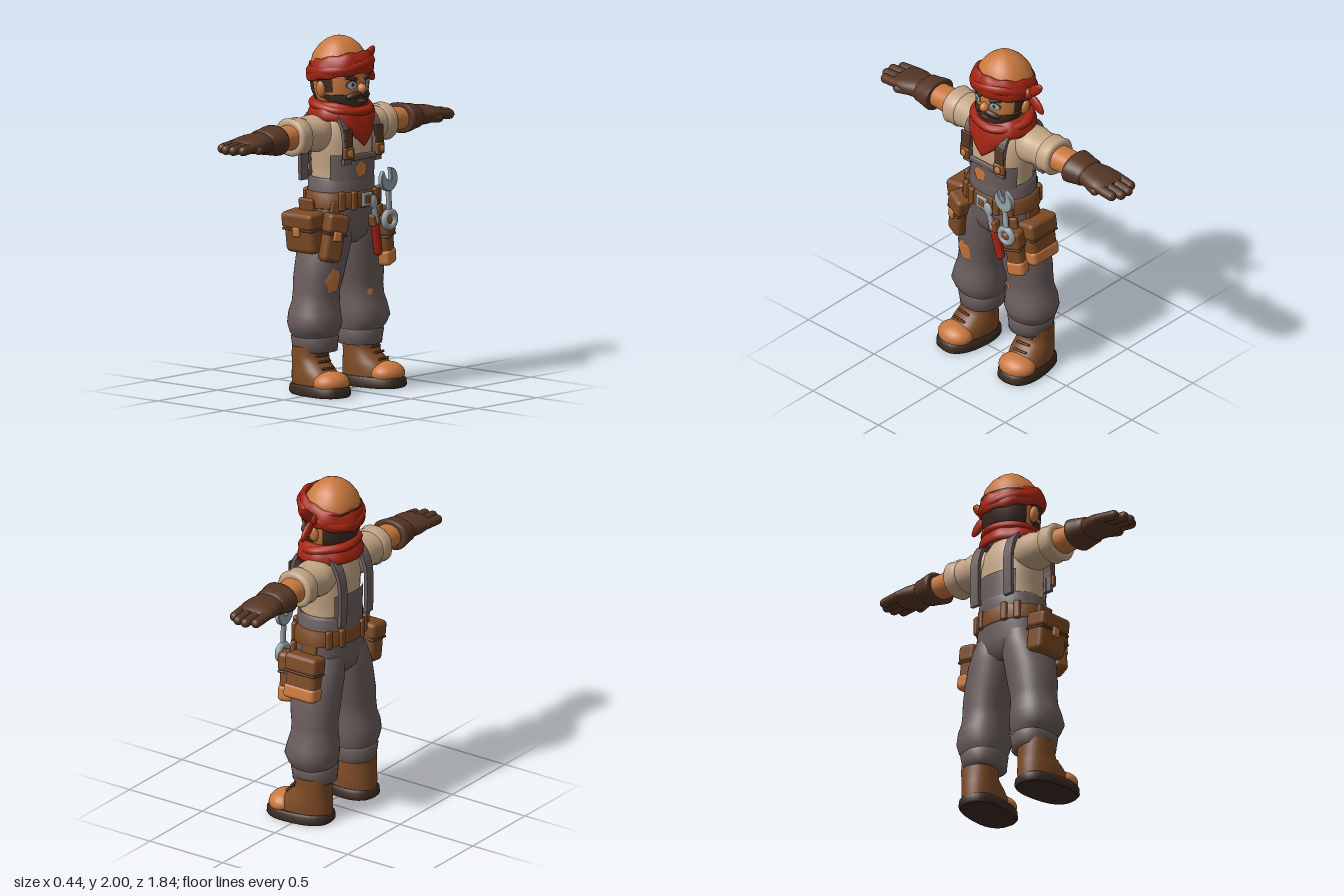
import * as THREE from 'three';
import { RoundedBoxGeometry } from 'three/addons/geometries/RoundedBoxGeometry.js';
import { ParametricGeometry } from 'three/addons/geometries/ParametricGeometry.js';

const mat = (name, color) => Object.assign(new THREE.MeshStandardMaterial({ color, side: THREE.DoubleSide }), { name });
const M = {
  skin: mat('skin and tan', 0xc9783f), red: mat('red cloth', 0xa32411), glove: mat('dark leather', 0x553524),
  leather: mat('brown leather', 0x7c4a24), denim: mat('grey denim', 0x6a5d5c), cream: mat('cream shirt', 0xc4a585),
  hair: mat('dark hair', 0x3e2a22), steel: mat('steel', 0x98a2a8), eye: mat('pale blue', 0x8fb0c8), sole: mat('sole', 0x3a2a20),
};
const PI = Math.PI;

function add(parent, name, geo, material, pos = [0, 0, 0], rot = [0, 0, 0], scale = [1, 1, 1]) {
  const m = new THREE.Mesh(geo, material);
  m.name = name;
  m.position.set(...pos); m.rotation.set(...rot); m.scale.set(...scale);
  parent.add(m);
  return m;
}
const ball = (p, name, m, pos, scale, rot) => add(p, name, new THREE.SphereGeometry(1, 24, 16), m, pos, rot, scale);
const box = (p, name, m, size, pos, rot, r = 0.012) =>
  add(p, name, new RoundedBoxGeometry(...size, 2, Math.min(r, Math.min(...size) * 0.45)), m, pos, rot);
// capsule between two points
function rod(p, name, m, a, b, r) {
  const A = new THREE.Vector3(...a), d = new THREE.Vector3(...b).sub(A), len = d.length();
  const o = add(p, name, new THREE.CapsuleGeometry(r, len, 6, 14), m, A.clone().addScaledVector(d, 0.5).toArray());
  o.quaternion.setFromUnitVectors(new THREE.Vector3(0, 1, 0), d.normalize());
  return o;
}

// Skin over superellipse sections [y, cx, cz, rx, rz]; from/to give an open arc, angle 0 = front
function loft(secs, { n = 2.2, from = -PI, to = PI, seg = 36, grow = 0 } = {}) {
  const full = to - from > 6.28, pos = [], idx = [], cols = full ? seg : seg + 1;
  const pw = v => Math.sign(v) * Math.abs(v) ** (2 / n);
  const ring = ([y, cx, cz, rx, rz]) => {
    for (let i = 0; i < cols; i++) {
      const a = from + (to - from) * i / seg;
      pos.push(cx + (rx + grow) * pw(Math.sin(a)), y, cz + (rz + grow) * pw(Math.cos(a)));
    }
  };
  secs.forEach(ring);
  for (let j = 0; j < secs.length - 1; j++) for (let i = 0; i < seg; i++) {
    const a = j * cols + i, b = j * cols + (i + 1) % cols;
    idx.push(a, b, a + cols, b, b + cols, a + cols);
  }
  if (full) [secs[0], secs[secs.length - 1]].forEach((s, top) => {
    const base = pos.length / 3;
    ring(s);
    pos.push(s[1], s[0], s[2]);
    for (let i = 0; i < seg; i++) {
      const a = base + i, b = base + (i + 1) % seg;
      top ? idx.push(a, b, base + seg) : idx.push(b, a, base + seg);
    }
  });
  return geometry(pos, idx);
}
function geometry(pos, idx) {
  const g = new THREE.BufferGeometry();
  g.setAttribute('position', new THREE.Float32BufferAttribute(pos, 3));
  g.setIndex(idx);
  g.computeVertexNormals();
  return g;
}
// Front depth of a loft at (x, y)
function frontZ(secs, x, y, n = 2.2) {
  let j = 0;
  while (j < secs.length - 2 && secs[j + 1][0] < y) j++;
  const t = (y - secs[j][0]) / (secs[j + 1][0] - secs[j][0]);
  const [, cx, cz, rx, rz] = secs[j].map((v, k) => v + (secs[j + 1][k] - v) * t);
  return cz + rz * Math.max(0, 1 - Math.abs((x - cx) / rx) ** n) ** (1 / n);
}
// Thin irregular patch lying on the front of a loft
function patch(p, name, m, secs, x, y, w, h, rough = 0.25, lift = 0.006) {
  const pos = [x, y, frontZ(secs, x, y) + lift], idx = [], k = 14;
  for (let r = 1; r <= 3; r++) for (let i = 0; i < k; i++) {
    const a = 2 * PI * i / k, q = r / 3 * (1 - rough * (0.5 + 0.5 * Math.sin(i * 2.4 + 1)));
    const px = x + w / 2 * q * Math.cos(a), py = y + h / 2 * q * Math.sin(a);
    pos.push(px, py, frontZ(secs, px, py) + lift);
    const b = 1 + (r - 1) * k, c = b + i, d = b + (i + 1) % k;
    r === 1 ? idx.push(0, c, d) : idx.push(c - k, c, d, c - k, d, d - k);
  }
  add(p, name, geometry(pos, idx), m);
}
// Closed cloth ring; f(angle) gives { y, h, t }
function wrap(rx, rz, cz, lean, f) {
  return new ParametricGeometry((u, v, out) => {
    const a = (u * 2 - 1) * PI, b = v * 2 * PI, { y, h, t } = f(a);
    const r = t * Math.cos(b) - lean * Math.sin(b);
    out.set((rx + r) * Math.sin(a), y + h * Math.sin(b), cz + (rz + r) * Math.cos(a));
  }, 72, 14);
}

const HEAD = [[1.55, 0, -.03, .09, .09], [1.6, 0, -.01, .11, .11], [1.64, 0, -.02, .138, .13], [1.7, 0, -.025, .157, .15],
  [1.78, 0, -.03, .165, .155], [1.85, 0, -.033, .163, .153], [1.9, 0, -.035, .147, .14], [1.95, 0, -.035, .11, .106],
  [1.98, 0, -.035, .071, .069], [1.995, 0, -.035, .034, .034], [2, 0, -.035, .004, .004]];
const SHIRT = [[1.1, 0, -.02, .19, .15], [1.2, 0, -.02, .175, .148], [1.3, 0, -.02, .18, .15], [1.42, 0, -.025, .195, .145],
  [1.5, 0, -.03, .185, .13], [1.57, 0, -.03, .12, .1]];
const BIB = SHIRT.slice(1, 3).concat([[1.35, 0, -.02, .18, .15]]).map(([y, x, z, a, b]) => [y, x, z, a + .014, b + .018]);
const legSections = s => [[.3, .185, -.05, .11, .11], [.35, .195, -.045, .138, .135], [.4, .2, -.04, .15, .15], [.46, .195, -.045, .143, .142],
  [.52, .185, -.045, .132, .128], [.58, .18, -.045, .13, .126], [.66, .168, -.04, .138, .136], [.75, .15, -.035, .142, .14],
  [.85, .128, -.03, .138, .15], [.92, .115, -.025, .12, .15], [.98, .11, -.02, .1, .14]].map(([y, x, ...r]) => [y, s * x, ...r]);

function head(g) {
  add(g, 'head', loft(HEAD), M.skin);
  add(g, 'backHair', loft(HEAD.slice(1, 6), { from: PI * .6, to: PI * 1.4, grow: .008 }), M.hair);
  const beard = [[1.57, 0, .02, .05, .05], [1.585, 0, .02, .09, .085], [1.62, 0, .01, .125, .115], [1.66, 0, .0, .146, .128], [1.685, 0, -.012, .155, .132]];
  add(g, 'beard', loft(beard), M.hair);
  ball(g, 'nose', M.skin, [0, 1.715, .13], [.027, .03, .033]);
  box(g, 'mouth', M.skin, [.05, .012, .008], [0, 1.647, .128]);
  for (const s of [-1, 1]) {
    ball(g, 'ear', M.skin, [s * .165, 1.715, -.025], [.022, .048, .03], [0, 0, -s * .15]);
    add(g, 'sideburn', loft(HEAD.slice(3, 6), { from: s * 1.4 - .3, to: s * 1.4 + .3, seg: 8, grow: .006 }), M.hair);
    ball(g, 'moustache', M.hair, [s * .042, 1.682, .115], [.055, .02, .024], [0, s * .3, -s * .25]);
    patch(g, 'eyeSocket', M.hair, HEAD, s * .066, 1.742, .07, .05, 0, .004);
    patch(g, 'eye', M.eye, HEAD, s * .066, 1.74, .054, .042, 0, .007);
    patch(g, 'pupil', M.hair, HEAD, s * .064, 1.742, .018, .024, 0, .009);
    box(g, 'eyebrow', M.hair, [.075, .024, .02], [s * .067, 1.778, .113], [0, s * .4, s * .25]);
  }
  // bandana with side knot
  add(g, 'bandana', wrap(.163, .163, -.027, .012, a => ({ y: 1.828 + .035 * Math.cos(a), h: .062 + .004 * Math.sin(a * 9), t: .024 + .003 * Math.sin(a * 7) })), M.red);
  add(g, 'bandanaFold', wrap(.172, .174, -.027, 0, a => ({ y: 1.815 + .04 * Math.cos(a) + .015 * Math.sin(2 * a), h: .028, t: .02 })), M.red);
  ball(g, 'knot', M.red, [.188, 1.815, -.03], [.033, .036, .034]);
  ball(g, 'upperTail', M.red, [.235, 1.855, -.03], [.07, .03, .018], [0, 0, .75]);
  ball(g, 'lowerTail', M.red, [.236, 1.765, -.035], [.075, .032, .018], [0, 0, -.72]);
}

function torso(g) {
  add(g, 'shirt', loft(SHIRT), M.cream);
  add(g, 'overallsWaist', loft([[.84, 0, -.025, .13, .1], [.88, 0, -.025, .2, .14], [.95, 0, -.02, .23, .155], [1.05, 0, -.02, .215, .16],
    [1.14, 0, -.02, .198, .165], [1.2, 0, -.02, .194, .168], [1.215, 0, -.02, .18, .155]]), M.denim);
  add(g, 'bib', loft(BIB, { from: -1.15, to: 1.15 }), M.denim);
  box(g, 'bibPocketHem', M.denim, [.21, .035, .02], [0, 1.335, .143]);
  add(g, 'backPanel', loft(BIB, { from: PI - .75, to: PI + .75 }), M.denim);
  patch(g, 'bibPatch', M.skin, BIB, -.02, 1.265, .1, .1);
  // straps run over the shoulders
  const path = new THREE.SplineCurve([[.12, 1.3], [.125, 1.42], [.09, 1.54], [-.03, 1.59], [-.13, 1.55], [-.178, 1.45], [-.185, 1.3], [-.18, 1.18]].map(p => new THREE.Vector2(...p)));
  const inner = path.getPoints(28), outer = inner.map((p, i) => {
    const t = path.getTangent(i / 28);
    return new THREE.Vector2(p.x + t.y * .022, p.y - t.x * .022);
  });
  const strap = new THREE.ExtrudeGeometry(new THREE.Shape([...inner, ...outer.reverse()]), { depth: .06, bevelEnabled: false });
  strap.translate(0, 0, -.03).rotateY(-PI / 2);
  for (const s of [-1, 1]) {
    add(g, 'strap', strap, M.denim, [s * .125, 0, 0]);
    box(g, 'strapFront', M.glove, [.066, .14, .012], [s * .128, 1.43, .15], [-.05, 0, 0]);
    box(g, 'strapBuckle', M.leather, [.075, .07, .03], [s * .13, 1.365, .15], [0, s * .2, 0]);
    ball(g, 'strapButton', M.skin, [s * .13, 1.365, .166], [.022, .022, .008]);
  }
  // neckerchief with a front point
  const front = a => Math.max(0, 1 - Math.abs(a) / .95);
  add(g, 'neckerchief', wrap(.165, .148, -.02, .022, a => ({ y: 1.592 - .08 * front(a), h: .052 + .07 * front(a), t: .026 + .003 * Math.sin(a * 8) })), M.red);
  add(g, 'neckerchiefRoll', wrap(.155, .14, -.02, 0, a => ({ y: 1.61 - .025 * Math.cos(a), h: .028, t: .035 + .004 * Math.sin(a * 5) })), M.red);
}

function arm(g, s) {
  const a = new THREE.Group();
  a.name = s > 0 ? 'leftArm' : 'rightArm';
  a.position.set(0, 1.465, -.055);
  a.rotation.z = -s * PI / 2;
  g.add(a);
  const tube = (name, m, rows, n = 2.2) => add(a, name, loft(rows.map(([y, rv, rz]) => [y, 0, 0, rv, rz]), { n }), m);
  tube('sleeve', M.cream, [[.1, .085, .09], [.17, .105, .108], [.22, .103, .112], [.27, .093, .1], [.3, .1, .108], [.33, .092, .1]]);
  tube('sleeveCuff', M.cream, [[.31, .085, .095], [.32, .106, .113], [.355, .101, .109], [.385, .107, .114], [.4, .098, .104], [.4, .08, .09]]);
  tube('forearm', M.skin, [[.38, .072, .08], [.47, .067, .076], [.55, .062, .074]]);
  tube('gloveCuff', M.glove, [[.52, .07, .1], [.52, .086, .114], [.54, .084, .112], [.59, .074, .102], [.62, .07, .1], [.635, .055, .088]]);
  tube('hand', M.glove, [[.61, .056, .09], [.65, .058, .094], [.7, .055, .106], [.75, .047, .106], [.79, .036, .098], [.81, .02, .08]]);
  [[-.078, .865], [-.026, .893], [.026, .89], [.072, .86]].forEach(([z, end], i) =>
    rod(a, 'finger' + (i + 1), M.glove, [0, .75, z * 1.05], [s * .012, end, z], .028));
  rod(a, 'thumb', M.glove, [s * .01, .665, .065], [s * .018, .75, .09], .027);
}

function leg(g, s) {
  const secs = legSections(s);
  add(g, 'trouserLeg', loft(secs), M.denim);
  add(g, 'trouserCuff', loft([[.235, s * .185, -.05, .1, .1], [.24, s * .185, -.05, .117, .125], [.28, s * .187, -.05, .121, .128], [.32, s * .188, -.05, .128, .133], [.335, s * .188, -.05, .115, .12]]), M.denim);
  if (s < 0) patch(g, 'thighPatch', M.skin, secs, -.19, .645, .12, .16);
  else patch(g, 'kneePatch', M.skin, secs, .13, .545, .04, .04);
  const b = new THREE.Group();
  b.name = 'boot';
  b.position.set(s * .22, 0, 0);
  b.rotation.y = s * .12;
  g.add(b);
  add(b, 'sole', loft([[0, 0, .02, .118, .19], [.012, 0, .02, .126, .2], [.045, 0, .02, .124, .198], [.06, 0, .02, .113, .185]], { n: 2.5 }), M.sole);
  add(b, 'upper', loft([[.05, 0, -.005, .108, .165], [.1, 0, -.015, .11, .155], [.14, 0, -.032, .106, .135], [.18, 0, -.055, .1, .108], [.22, 0, -.063, .102, .1], [.27, 0, -.06, .1, .1]]), M.leather);
  ball(b, 'toeCap', M.skin, [0, .075, .117], [.11, .068, .092]);
  for (const y of [.155, .19, .22]) box(b, 'lace', M.glove, [.09, .013, .016], [0, y, .09 - (y - .155) * .85], [-.5, 0, 0]);
}

// Box pouch facing its own +z, with flap and clasp
function pouch(g, name, [w, h, d], pos, rot, tanBase) {
  const p = new THREE.Group();
  p.name = name;
  p.position.set(...pos); p.rotation.set(...rot, 'YXZ');
  g.add(p);
  box(p, 'body', M.leather, [w, h, d], [0, 0, 0], [0, 0, 0], .03);
  box(p, 'flap', M.leather, [w + .014, h * .42, d + .016], [0, h * .31, .004], [0, 0, 0], .025);
  box(p, 'flapEdge', M.glove, [w + .008, .014, d + .01], [0, h * .1, .003]);
  box(p, 'hanger', M.leather, [w * .5, .14, .03], [0, h * .5, -d * .3]);
  if (tanBase) box(p, 'base', M.skin, [w + .01, h * .36, d + .01], [0, -h * .36, 0], [0, 0, 0], .025);
  else box(p, 'clasp', M.skin, [.05, .055, .02], [0, h * .06, d / 2 + .01]);
}

function beltAndTools(g) {
  add(g, 'belt', loft([[1.045, 0, -.015, .215, .165], [1.05, 0, -.015, .23, .176], [1.13, 0, -.015, .222, .174], [1.138, 0, -.015, .2, .16]]), M.leather);
  box(g, 'buckle', M.steel, [.08, .08, .016], [.01, 1.092, .165]);
  box(g, 'buckleInset', M.leather, [.045, .045, .016], [.01, 1.092, .169]);
  for (const x of [-.15, -.08, .1, .17]) for (const f of [-1, 1])
    box(g, 'beltLoop', M.leather, [.04, .11, .03], [x, 1.092, f * .176 * Math.sqrt(1 - (x / .23) ** 2) - .015], [0, f * x * 2.5, 0]);
  pouch(g, 'rightHipPouch', [.215, .23, .12], [-.278, .92, -.045], [.12, -PI / 2, 0]);
  pouch(g, 'rightFrontPouch', [.12, .27, .09], [-.212, .89, .105], [0, -.35, -.18]);
  pouch(g, 'leftHipPouch', [.2, .25, .1], [.262, .88, -.03], [-.14, PI / 2, 0], true);
  pouch(g, 'leftFrontPouch', [.1, .27, .08], [.218, .835, .112], [0, .3, .14], true);
  // wrench
  const w = new THREE.Group();
  w.name = 'wrench';
  w.position.set(.197, .955, .165);
  w.rotation.z = .06;
  g.add(w);
  add(w, 'ringEnd', new THREE.TorusGeometry(.043, .02, 10, 28), M.steel);
  box(w, 'shaft', M.steel, [.036, .17, .022], [0, .12, 0]);
  const jaw = new THREE.Shape();
  jaw.absarc(0, 0, .064, PI / 2 + .5, PI * 2.5 - .5, false);
  jaw.lineTo(.026, .02); jaw.lineTo(.012, -.012); jaw.lineTo(-.012, -.012); jaw.lineTo(-.026, .02);
  add(w, 'openJaw', new THREE.ExtrudeGeometry(jaw, { depth: .022, bevelSize: .004, bevelThickness: .004, bevelSegments: 1 }), M.steel, [0, .23, -.011], [0, 0, .25]);
  // pliers
  ball(g, 'plierHead', M.steel, [.06, 1.07, .168], [.03, .042, .016], [0, 0, .25]);
  rod(g, 'plierNeck', M.steel, [.065, 1.05, .166], [.088, .96, .16], .016);
  box(g, 'toolHolster', M.leather, [.06, .07, .05], [.088, .965, .148], [0, 0, .2]);
  rod(g, 'plierHandle', M.red, [.095, .925, .15], [.13, .78, .14], .025);
}

export function createModel() {
  const root = new THREE.Group(), g = new THREE.Group();
  root.name = 'mechanic'; g.name = 'figure';
  head(g);
  torso(g);
  for (const s of [-1, 1]) { arm(g, s); leg(g, s); }
  beltAndTools(g);
  g.rotation.y = PI / 2; // the figure looks along +x
  root.add(g);
  return root;
}
